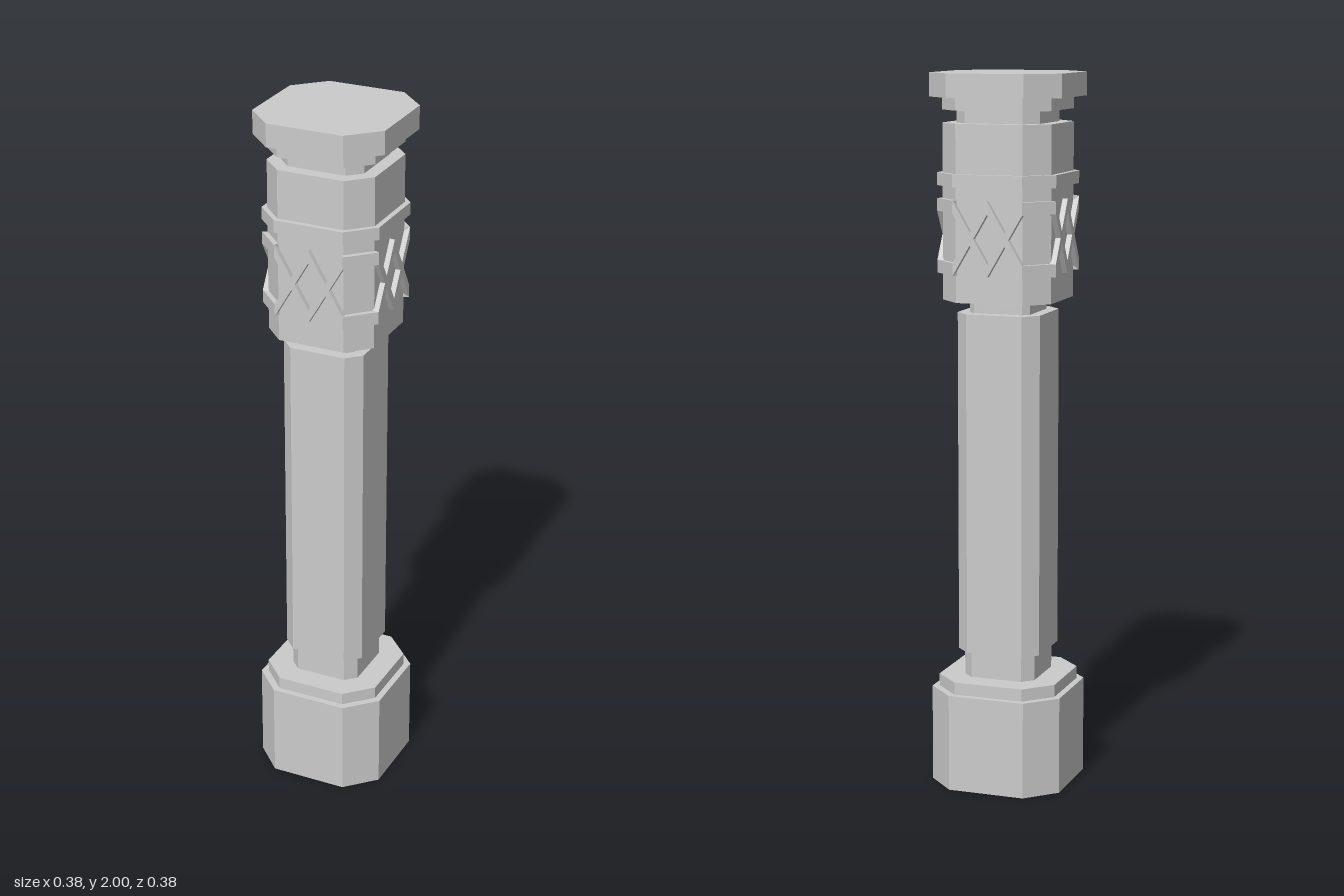
import * as THREE from 'three';

const material = new THREE.MeshStandardMaterial({ color: 0xcccccc, flatShading: true });

function polygon(points) {
  return new THREE.Shape(points.map(([x, y]) => new THREE.Vector2(x, y)));
}

function extrude(points, depth) {
  return new THREE.ExtrudeGeometry(polygon(points), { depth, bevelEnabled: false });
}

// Upright prism: the outline lies in plan, from height y0 to y1
function prism(name, points, y0, y1) {
  const geometry = extrude(points, y1 - y0).rotateX(-Math.PI / 2).translate(0, y0, 0);
  const mesh = new THREE.Mesh(geometry, material);
  mesh.name = name;
  return mesh;
}

// Square of half width h with chamfered corners; f is half the flat side
function octagon(h, f) {
  return [[f, -h], [h, -f], [h, f], [f, h], [-f, h], [-h, f], [-h, -f], [-f, -h]];
}

export function createModel() {
  const model = new THREE.Group();
  model.name = 'column';

  // Stacked tiers: name, bottom, top, half width, half flat side
  const tiers = [
    ['base', 0, 0.275, 0.19, 0.11],
    ['baseCollar', 0.275, 0.31, 0.172, 0.1],
    ['lowerNeck', 0.31, 0.385, 0.104, 0.074],
    ['shaft', 0.385, 1.345, 0.12, 0.081],
    ['middleNeck', 1.345, 1.38, 0.088, 0.07],
    ['head', 1.38, 1.865, 0.157, 0.096],
    ['headRing', 1.695, 1.73, 0.172, 0.1],
    ['upperNeck', 1.865, 1.9, 0.12, 0.083],
    ['capitalStep', 1.9, 1.935, 0.157, 0.096],
    ['capital', 1.935, 2, 0.19, 0.11],
  ];
  for (const [name, y0, y1, h, f] of tiers) model.add(prism(name, octagon(h, f), y0, y1));

  // Two interlaced zigzag bands around the head
  const low = 1.455, high = 1.66, t = 0.035, f = 0.1, h = 0.172, inner = 0.15;
  const vBand = [[-f, high - t], [0, low], [f, high - t], [f, high], [0, low + t], [-f, high]];
  const peakBand = vBand.map(([x, y]) => [x, low + high - y]).reverse();
  const corner = [[h, f], [f, h], [0.09, inner], [inner, 0.09]];

  for (let i = 0; i < 4; i++) {
    const side = new THREE.Group();
    side.name = 'latticeSide';
    for (const band of [vBand, peakBand]) {
      const bar = new THREE.Mesh(extrude(band, h - inner).translate(0, 0, inner), material);
      bar.name = 'zigzagBar';
      side.add(bar);
    }
    // Short level bands carry the zigzags across the chamfered corner
    side.add(prism('cornerBand', corner, low, low + t));
    side.add(prism('cornerBand', corner, high - t, high));
    side.rotation.y = i * Math.PI / 2;
    model.add(side);
  }
  return model;
}
